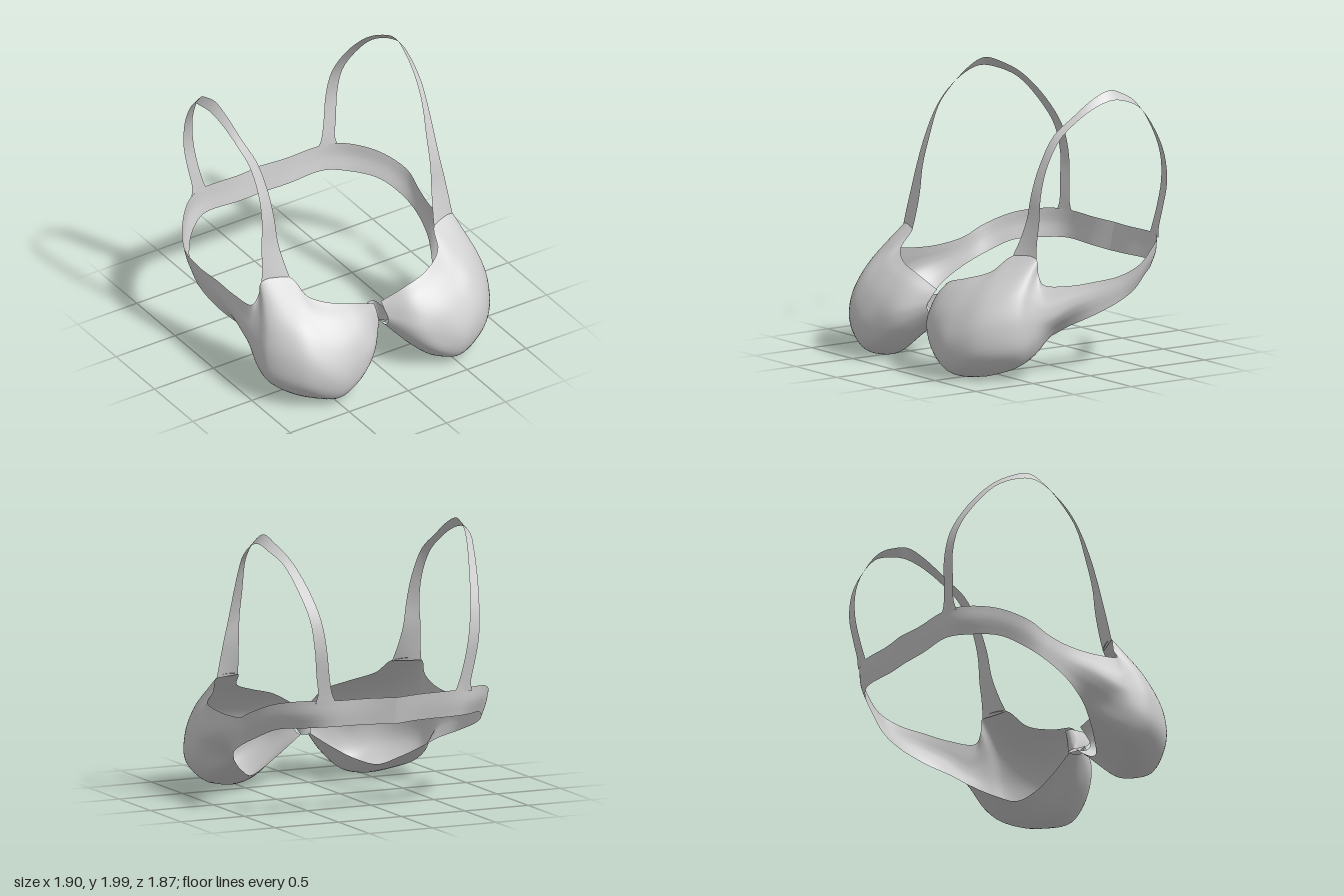
import * as THREE from 'three';

const curve = (pts) => new THREE.CatmullRomCurve3(pts);
const vec = (p) => new THREE.Vector3(...p);

// Smooth sheet through columns of points; u runs over the columns, v down each one.
function loft(columns, nu, nv) {
  const lines = columns.map((c) => curve(c.map(vec)));
  const pos = [], index = [];
  for (let j = 0; j <= nv; j++) {
    const row = curve(lines.map((l) => l.getPoint(j / nv)));
    for (let i = 0; i <= nu; i++) pos.push(...row.getPoint(i / nu).toArray());
  }
  const w = nu + 1;
  for (let j = 0; j < nv; j++) {
    for (let i = 0; i < nu; i++) {
      const a = j * w + i, b = a + w;
      index.push(a, b, a + 1, b, b + 1, a + 1);
    }
  }
  const g = new THREE.BufferGeometry();
  g.setAttribute('position', new THREE.Float32BufferAttribute(pos, 3));
  g.setIndex(index);
  g.computeVertexNormals();
  return g;
}

// Cup columns from the centre to the side, each from upper edge to under edge.
const cup = [
  [[.03, .54, .6], [.03, .51, .63], [.035, .47, .66], [.04, .43, .68], [.04, .39, .67], [.04, .36, .63], [.04, .35, .55]],
  [[.2, .64, .66], [.19, .57, .74], [.19, .47, .81], [.19, .36, .85], [.2, .25, .83], [.21, .17, .7], [.19, .25, .525]],
  [[.38, .69, .64], [.37, .6, .75], [.36, .46, .86], [.36, .3, .91], [.36, .14, .89], [.37, .04, .71], [.35, .16, .485]],
  [[.55, .755, .54], [.55, .65, .69], [.54, .47, .85], [.53, .25, .935], [.52, .07, .885], [.52, .01, .68], [.5, .115, .415]],
  [[.61, .86, .4], [.68, .73, .57], [.73, .58, .73], [.76, .39, .83], [.75, .18, .83], [.69, .035, .65], [.62, .175, .31]],
  [[.81, .86, .335], [.84, .76, .43], [.89, .6, .55], [.93, .42, .6], [.92, .22, .61], [.82, .1, .5], [.69, .225, .235]],
  [[.835, .76, .335], [.87, .68, .39], [.91, .57, .44], [.94, .42, .47], [.93, .27, .46], [.86, .18, .39], [.73, .26, .185]],
];

// Band stations from the side to the middle of the back: top, middle, bottom.
const band = [
  [[.885, .69, .33], [.935, .43, .32], [.765, .29, .14]],
  [[.895, .655, .1], [.915, .5, .1], [.81, .34, .06]],
  [[.9, .66, -.1], [.91, .54, -.1], [.88, .41, -.1]],
  [[.932, .685, -.3], [.93, .59, -.3], [.913, .49, -.3]],
  [[.945, .745, -.46], [.925, .65, -.46], [.89, .56, -.46]],
  [[.84, .83, -.65], [.83, .74, -.64], [.8, .64, -.62]],
  [[.66, .87, -.83], [.66, .77, -.82], [.64, .665, -.79]],
  [[.5, .87, -.9], [.5, .77, -.89], [.5, .675, -.87]],
  [[.2, .865, -.905], [.2, .77, -.89], [.2, .67, -.87]],
  [[0, .86, -.93], [0, .76, -.91], [0, .66, -.89]],
];

// Strap sections from the cup over the shoulder to the back: inner edge, outer edge.
const strap = [
  [[.61, .855, .4], [.81, .855, .335]],
  [[.63, .97, .35], [.795, .97, .318]],
  [[.65, 1.12, .303], [.78, 1.12, .287]],
  [[.66, 1.3, .272], [.755, 1.3, .255]],
  [[.67, 1.5, .207], [.745, 1.5, .192]],
  [[.7, 1.71, .105], [.755, 1.685, .09]],
  [[.735, 1.83, -.03], [.78, 1.8, -.03]],
  [[.755, 1.95, -.2], [.8, 1.9, -.2]],
  [[.76, 2, -.34], [.81, 1.935, -.34]],
  [[.745, 1.955, -.48], [.8, 1.905, -.48]],
  [[.7, 1.865, -.625], [.755, 1.83, -.625]],
  [[.64, 1.68, -.787], [.71, 1.66, -.775]],
  [[.59, 1.46, -.905], [.67, 1.46, -.888]],
  [[.56, 1.25, -.937], [.65, 1.25, -.925]],
  [[.53, 1.05, -.917], [.625, 1.05, -.902]],
  [[.5, .92, -.9], [.605, .92, -.885]],
  [[.47, .85, -.9], [.62, .85, -.87]],
];

// Small gathered tab joining the cups.
const tab = [
  [[-.03, .51, .63], [-.04, .43, .68], [-.04, .35, .55]],
  [[-.025, .5, .51], [-.03, .43, .53], [-.035, .35, .54]],
  [[.025, .5, .51], [.03, .43, .53], [.035, .35, .54]],
  [[.03, .51, .63], [.04, .43, .68], [.04, .35, .55]],
];

export function createModel() {
  const fabric = new THREE.MeshStandardMaterial({ color: 0xcccccc, side: THREE.DoubleSide });
  fabric.name = 'light grey fabric';
  const model = new THREE.Group();
  model.name = 'braTop';

  // Band stations get as many points as the cup columns, so cup and band are one sheet.
  const bandColumns = band.map((c) => curve(c.map(vec)).getPoints(6).map((p) => p.toArray()));
  const parts = {
    cupAndBand: loft([...cup, ...bandColumns], 112, 36),
    strap: loft(strap, 64, 3),
  };
  for (const [side, sign] of [['left', 1], ['right', -1]]) {
    const half = new THREE.Group();
    half.name = side + 'Half';
    half.scale.x = sign;
    for (const [name, geometry] of Object.entries(parts)) {
      const mesh = new THREE.Mesh(geometry, fabric);
      mesh.name = name;
      half.add(mesh);
    }
    model.add(half);
  }

  const centre = new THREE.Mesh(loft(tab, 9, 6), fabric);
  centre.name = 'centreTab';
  model.add(centre);
  return model;
}
